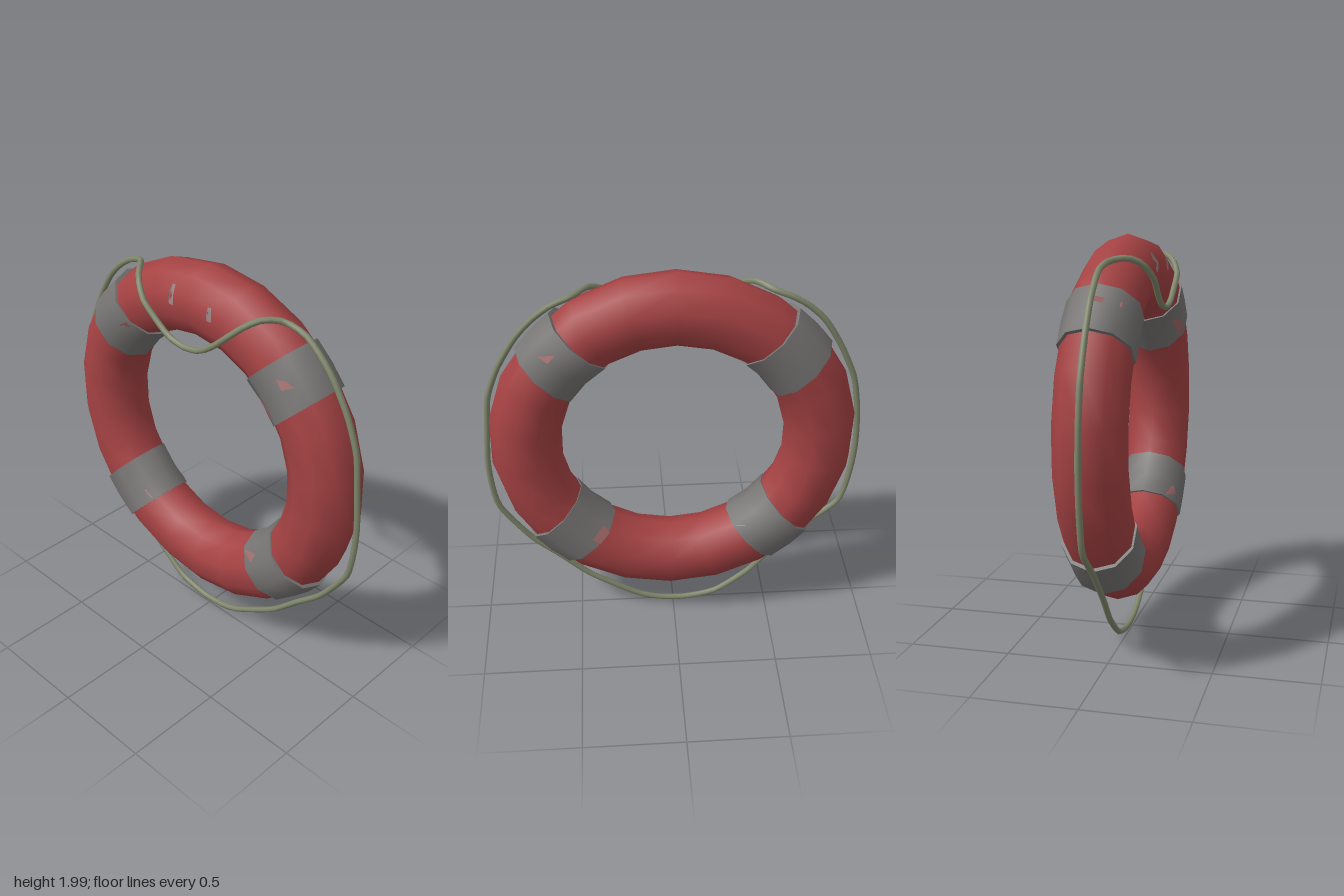
import * as THREE from 'three';
import { toCreasedNormals } from 'three/addons/utils/BufferGeometryUtils.js';

const CY = 1.1, CZ = -0.017;      // ring centre
const MAJOR = 0.725, TUBE = 0.176, FLAT = 0.95, SIDES = 10;
const BAND = 0.187;               // band section radius

const paint = (name, color) => {
  const m = new THREE.MeshStandardMaterial({ color });
  m.name = name;
  return m;
};

// Band wrapped round the tube, with parallel straight ends
function bandGeometry() {
  const sections = [[-0.12, 0.16], [-0.12, BAND], [0, BAND], [0.12, BAND], [0.12, 0.16]];
  const pos = [], index = [];
  for (const [t, r] of sections) {
    for (let j = 0; j < SIDES; j++) {
      const a = (j / SIDES) * Math.PI * 2;
      const rho = MAJOR + r * Math.cos(a);
      pos.push(Math.sqrt(rho * rho - t * t), t, r * Math.sin(a) * FLAT);
    }
  }
  for (let i = 0; i < sections.length - 1; i++) {
    for (let j = 0; j < SIDES; j++) {
      const k = (j + 1) % SIDES;
      const a = i * SIDES + j, b = i * SIDES + k, c = a + SIDES, d = b + SIDES;
      index.push(a, c, b, b, c, d);
    }
  }
  const g = new THREE.BufferGeometry();
  g.setAttribute('position', new THREE.Float32BufferAttribute(pos, 3));
  g.setIndex(index);
  return toCreasedNormals(g, 0.9);
}

// Height of the faceted tube section above the ring's middle plane
function sectionHeight(rho, r) {
  const u = Math.min(1, Math.max(-1, (rho - MAJOR) / r));
  const step = (Math.PI * 2) / SIDES;
  const k = Math.min(SIDES / 2 - 1, Math.floor(Math.acos(u) / step));
  const a = k * step, b = a + step;
  const f = (u - Math.cos(a)) / (Math.cos(b) - Math.cos(a));
  return r * FLAT * (Math.sin(a) + f * (Math.sin(b) - Math.sin(a)));
}

// Thin worn patch laid on the front (side 1) or back (side -1) surface
function patchGeometry(points, r, side) {
  const shape = new THREE.Shape(points.map(([x, y]) => new THREE.Vector2(x, y)));
  const g = new THREE.ShapeGeometry(shape);
  const p = g.attributes.position;
  for (let i = 0; i < p.count; i++) {
    const rho = Math.hypot(p.getX(i), p.getY(i) - CY);
    p.setZ(i, CZ + side * (sectionHeight(rho, r) + 0.005));
  }
  if (side < 0) {
    const ix = g.index.array;
    for (let i = 0; i < ix.length; i += 3) [ix[i], ix[i + 1]] = [ix[i + 1], ix[i]];
  }
  g.computeVertexNormals();
  return g;
}

export function createModel() {
  const red = paint('faded red', 0xa54243);
  const grey = paint('grey band', 0x777574);
  const green = paint('rope green', 0x80876c);
  const worn = paint('worn pink', 0xa06a69);
  const scuff = paint('scuff grey', 0x9b8281);

  const model = new THREE.Group();
  model.name = 'lifeRing';
  const add = (name, geometry, material, parent = model) => {
    const m = new THREE.Mesh(geometry, material);
    m.name = name;
    parent.add(m);
    return m;
  };

  // Float ring
  const ring = add('floatRing', new THREE.TorusGeometry(MAJOR, TUBE, SIDES, 22), red);
  ring.position.set(0, CY, CZ);
  ring.rotation.z = THREE.MathUtils.degToRad(271.3);
  ring.scale.z = FLAT;

  // Four bands
  const bands = new THREE.Group();
  bands.name = 'bands';
  model.add(bands);
  const bandGeo = bandGeometry();
  for (const deg of [44, 137.5, 226.5, -43.5]) {
    const b = add('band', bandGeo, grey, bands);
    b.position.set(0, CY, CZ);
    b.rotation.z = THREE.MathUtils.degToRad(deg);
  }

  // Worn spots on the bands
  const wear = new THREE.Group();
  wear.name = 'wornPatches';
  model.add(wear);
  const spots = [
    [1, [[0.54, 1.69], [0.575, 1.65], [0.62, 1.67], [0.58, 1.69]]],
    [1, [[0.41, 1.55], [0.47, 1.5], [0.52, 1.46], [0.53, 1.51], [0.47, 1.55]]],
    [1, [[-0.47, 1.59], [-0.4, 1.6], [-0.41, 1.63]]],
    [1, [[-0.66, 1.73], [-0.62, 1.7], [-0.6, 1.72], [-0.64, 1.75]]],
    [1, [[-0.38, 0.63], [-0.33, 0.6], [-0.3, 0.63], [-0.33, 0.66]]],
    [1, [[0.35, 0.62], [0.42, 0.61], [0.43, 0.65], [0.38, 0.69]]],
    [-1, [[0.54, 1.69], [0.575, 1.65], [0.62, 1.67]]],
    [-1, [[0.33, 0.61], [0.38, 0.57], [0.42, 0.6], [0.36, 0.65]]],
    [-1, [[-0.36, 0.62], [-0.32, 0.61], [-0.31, 0.64], [-0.35, 0.66]]],
  ];
  for (const [side, pts] of spots) add('wornPatch', patchGeometry(pts, BAND, side), worn, wear);

  // Two scuff marks on the ring
  for (const [x, y, h] of [[-0.105, 1.87, 0.045], [0.137, 1.853, 0.032]]) {
    const pts = [[x - 0.012, y - h], [x + 0.014, y - h], [x + 0.016, y], [x + 0.004, y + h],
      [x - 0.014, y + h], [x - 0.016, y]];
    add('scuffMark', patchGeometry(pts, TUBE, 1), scuff);
  }

  // Grab rope: a draped front loop, then round the rim and slack below
  const drape = [[0, 1.652], [0.1, 1.67], [0.19, 1.73], [0.27, 1.8]];
  const rise = [[0.34, 1.865, 0.13], [0.395, 1.895, 0.07], [0.46, 1.885, 0.005]];
  const rim = [[0.56, 1.85], [0.65, 1.78], [0.73, 1.69], [0.82, 1.54], [0.88, 1.38], [0.9, 1.2],
    [0.917, 1.0], [0.91, 0.84], [0.88, 0.7], [0.74, 0.5], [0.6, 0.37], [0.44, 0.22], [0.2, 0.07],
    [0.08, 0.03], [-0.06, 0.022], [-0.23, 0.06], [-0.4, 0.19], [-0.51, 0.32], [-0.68, 0.5],
    [-0.86, 0.66], [-0.905, 0.85], [-0.917, 1.03], [-0.905, 1.23], [-0.87, 1.42], [-0.79, 1.6],
    [-0.71, 1.73], [-0.63, 1.81], [-0.55, 1.86]];
  const path = [
    ...drape.map(([x, y]) => [x, y, 0.167]),
    ...rise,
    ...rim.map(([x, y]) => [x, y, -0.015]),
    ...rise.map(([x, y, z]) => [-x, y + 0.005, z]).reverse(),
    ...drape.slice(1).map(([x, y]) => [-x, y, 0.167]).reverse(),
  ].map((p) => new THREE.Vector3(...p));
  const curve = new THREE.CatmullRomCurve3(path, true, 'catmullrom', 0.35);
  add('grabRope', new THREE.TubeGeometry(curve, 140, 0.015, 7, true), green);

  return model;
}
